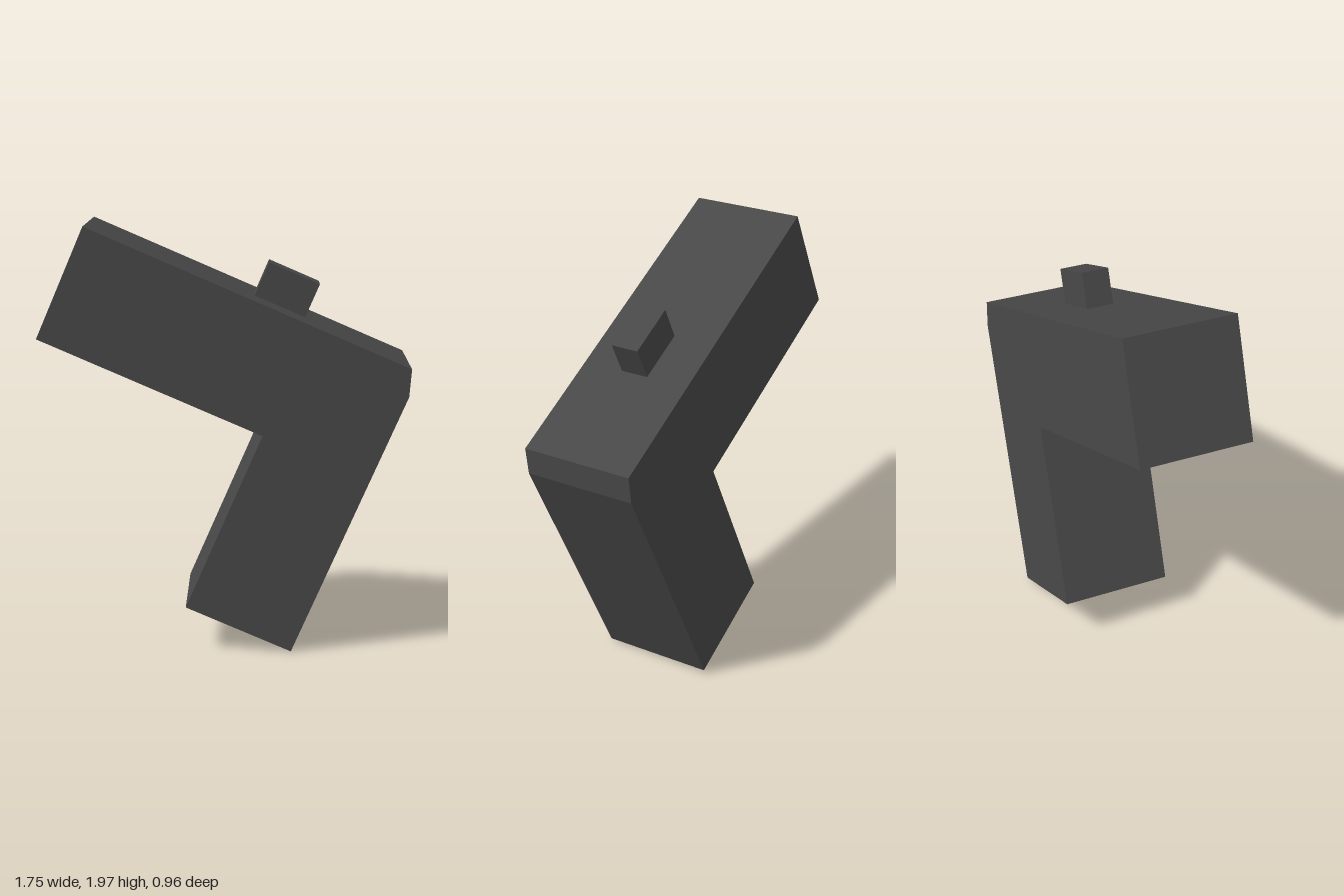
import * as THREE from 'three';

export function createModel() {
  const model = new THREE.Group();
  model.name = 'angledBlock';
  const darkGrey = new THREE.MeshStandardMaterial({ color: 0x484848 });
  darkGrey.name = 'dark grey';

  const depth = 0.525;

  // Barrel and grip: one L-shaped slab with a bevelled rear corner.
  // Local frame: origin at the top front corner of the barrel's end.
  const profile = new THREE.Shape([
    [0, 0], [0, -0.545], [1.1, -0.545], [1.1, -1.425],
    [1.628, -1.425], [1.628, -0.12], [1.587, 0],
  ].map(([x, y]) => new THREE.Vector2(x, y)));
  const bodyGeometry = new THREE.ExtrudeGeometry(profile, { depth, bevelEnabled: false });
  bodyGeometry.translate(0, 0, -depth);
  const body = new THREE.Mesh(bodyGeometry, darkGrey);
  body.name = 'barrelAndGrip';

  // Small block on top, sunk slightly into the barrel
  const sight = new THREE.Mesh(new THREE.BoxGeometry(0.25, 0.184, 0.13), darkGrey);
  sight.name = 'sight';
  sight.position.set(0.948, 0.072, -depth / 2 + 0.005);

  // Tilt the whole piece: along = barrel direction, side = front face normal
  const along = new THREE.Vector3(0.88, -0.397, -0.259).normalize();
  const up = new THREE.Vector3(0.4, 0.912, -0.073);
  const side = along.clone().cross(up).normalize();
  up.crossVectors(side, along);
  const tilted = new THREE.Group();
  tilted.name = 'tiltedPiece';
  tilted.quaternion.setFromRotationMatrix(new THREE.Matrix4().makeBasis(along, up, side));
  tilted.position.set(-0.522, 1.974, 0.442);
  tilted.add(body, sight);
  model.add(tilted);
  return model;
}
